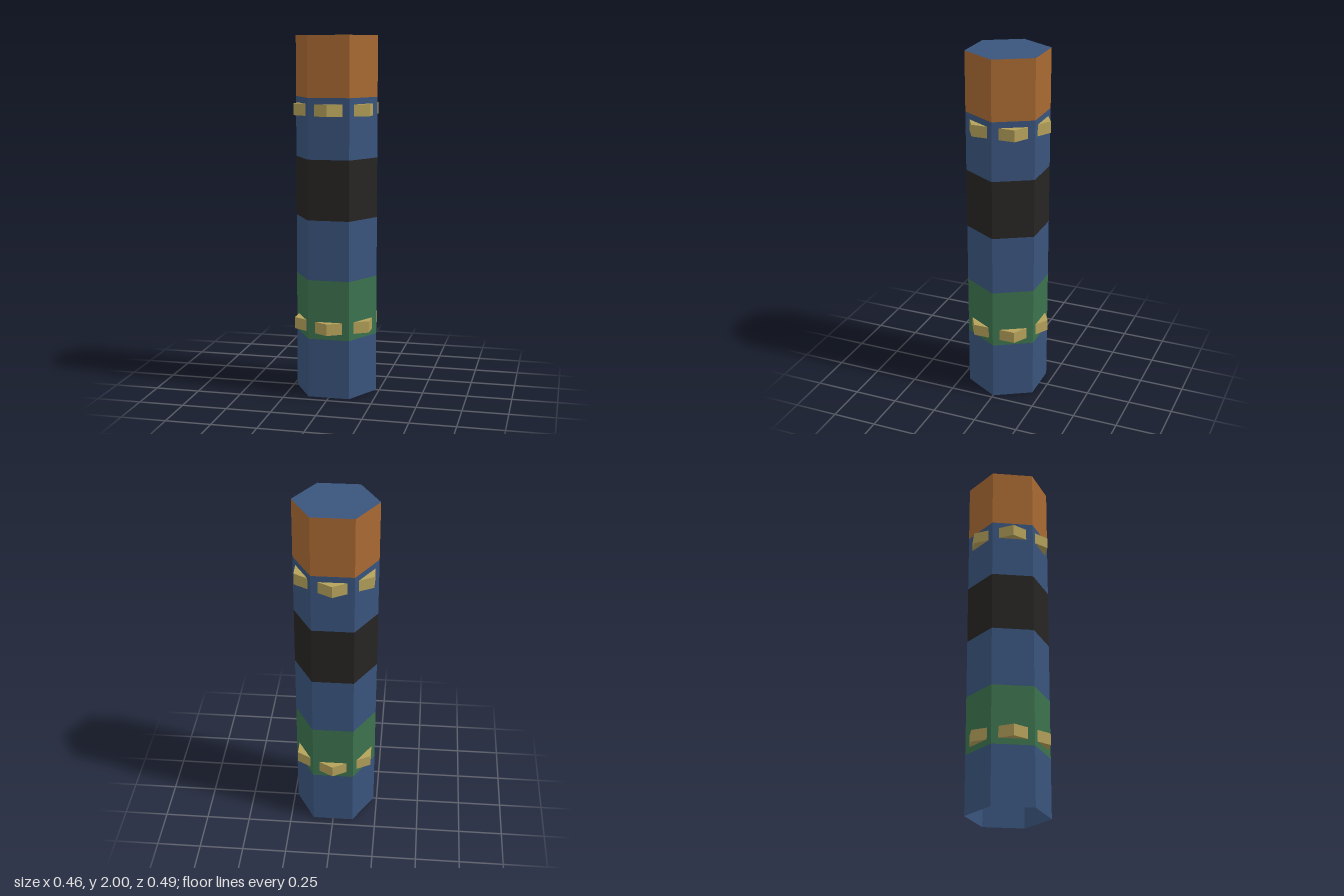
import * as THREE from 'three';

const BLUE = 0x3a547d, GREEN = 0x3c724e, BLACK = 0x272523, ORANGE = 0xa86932, BRASS = 0xb5a25b;

function makeMesh(name, geometry, color, side = THREE.FrontSide) {
  const material = new THREE.MeshStandardMaterial({ color, flatShading: true, side });
  const mesh = new THREE.Mesh(geometry, material);
  mesh.name = name;
  return mesh;
}

export function createModel() {
  const group = new THREE.Group();
  group.name = 'hexagonalTube';

  const radius = 0.231;
  const bands = [BLUE, GREEN, BLUE, BLACK, BLUE, ORANGE];
  const bandHeight = 2 / bands.length;

  // Open hexagonal tube, stacked from coloured bands, flats facing front and back
  bands.forEach((color, i) => {
    const wall = new THREE.CylinderGeometry(radius, radius, bandHeight, 6, 1, true);
    wall.rotateY(Math.PI / 6);
    wall.translate(0, (i + 0.5) * bandHeight, 0);
    group.add(makeMesh(`band${i + 1}`, wall, color, THREE.DoubleSide));
  });

  // Cap closing the top; the bottom stays open
  const cap = new THREE.CircleGeometry(radius, 6);
  cap.rotateX(-Math.PI / 2);
  cap.translate(0, 2, 0);
  group.add(makeMesh('topCap', cap, BLUE, THREE.DoubleSide));

  // Hexagonal rings turned so their corners poke out of the tube's flats
  const outer = 0.245, inner = 0.18, half = 0.0325;
  const section = [[outer, -half], [outer, half], [inner, half], [inner, -half], [outer, -half]]
    .map(([x, y]) => new THREE.Vector2(x, y));
  for (const [name, y] of [['lowerRing', 0.4], ['upperRing', 1.6]]) {
    const ring = makeMesh(name, new THREE.LatheGeometry(section, 6), BRASS);
    ring.position.y = y;
    group.add(ring);
  }

  return group;
}
